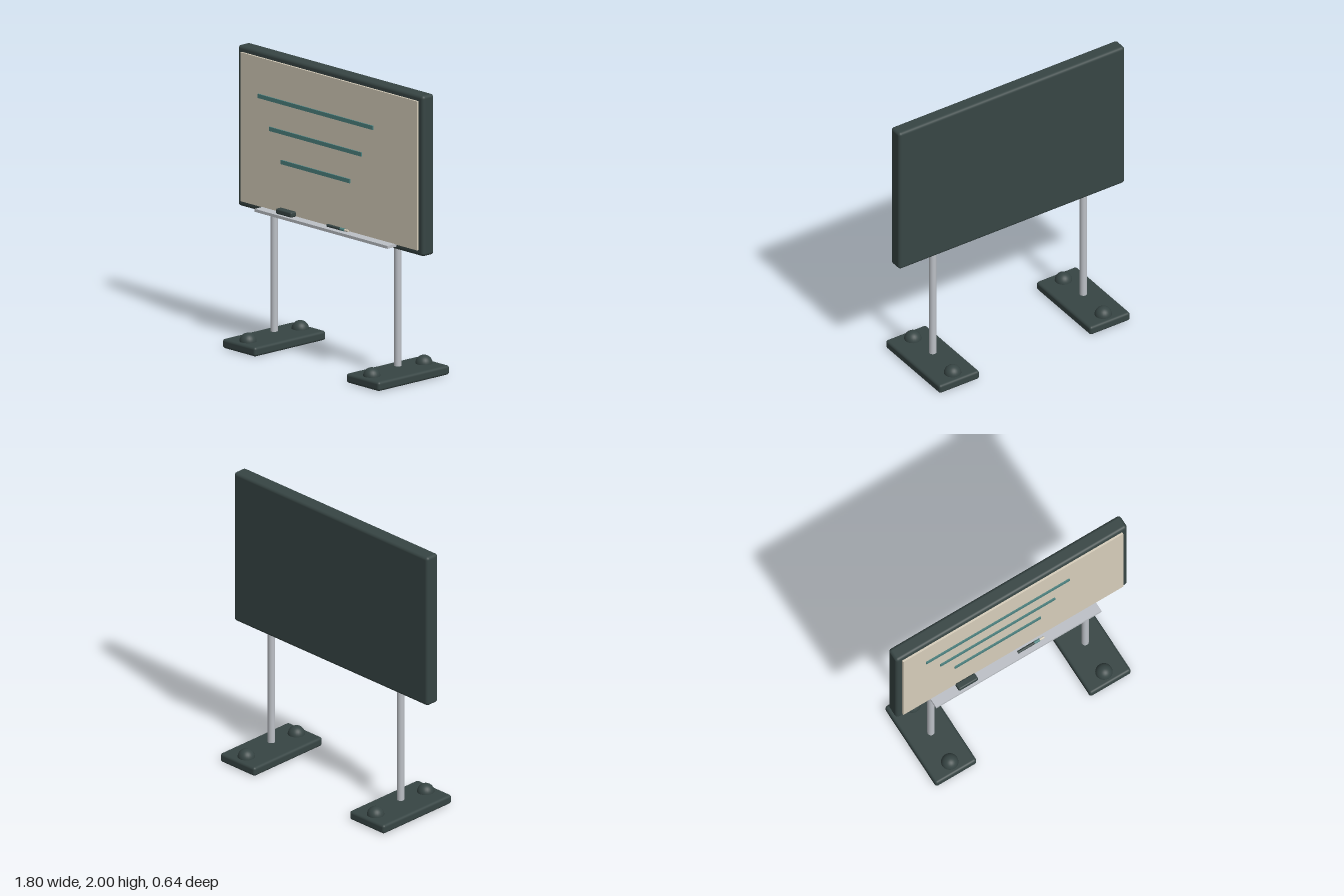
import * as THREE from 'three';
import { RoundedBoxGeometry } from 'three/addons/geometries/RoundedBoxGeometry.js';

export function createModel() {
  const model = new THREE.Group();
  model.name = 'displayBoard';

  const material = (name, color) => {
    const m = new THREE.MeshStandardMaterial({ color });
    m.name = name;
    return m;
  };
  const dark = material('darkSlate', 0x374544);
  const cream = material('cream', 0xd6cdba);
  const teal = material('teal', 0x4d8280);
  const metal = material('metal', 0xbcc0c6);

  const add = (name, geometry, mat, x, y, z, parent = model) => {
    const mesh = new THREE.Mesh(geometry, mat);
    mesh.name = name;
    mesh.position.set(x, y, z);
    parent.add(mesh);
    return mesh;
  };

  // Backing slab and writing surface
  add('frame', new RoundedBoxGeometry(1.8, 1.1, 0.104, 4, 0.022), dark, 0, 1.45, 0);
  add('writingSurface', new THREE.BoxGeometry(1.712, 1.02, 0.016), cream, 0, 1.45, 0.058);

  // Written lines, each shorter than the one above
  const lines = [[-0.68, 0.435, 1.697], [-0.57, 0.323, 1.493], [-0.458, 0.212, 1.288]];
  for (const [x0, x1, y] of lines) {
    add('writtenLine', new THREE.BoxGeometry(x1 - x0, 0.028, 0.009), teal, (x0 + x1) / 2, y, 0.0705);
  }

  // Tray with eraser
  add('tray', new THREE.BoxGeometry(1.288, 0.02, 0.085), metal, 0, 0.932, 0.0935);
  add('eraser', new RoundedBoxGeometry(0.15, 0.037, 0.05, 3, 0.01), dark, -0.381, 0.961, 0.097);

  // Marker lying on the tray: cap, band and barrel
  const marker = new THREE.Group();
  marker.name = 'marker';
  model.add(marker);
  const sections = [['markerBarrel', 0.018, 0.145, 0.01, dark],
    ['markerBand', 0.145, 0.187, 0.01, teal], ['markerTip', 0.187, 0.221, 0.008, cream]];
  for (const [name, x0, x1, r, mat] of sections) {
    const part = add(name, new THREE.CylinderGeometry(r, r, x1 - x0, 16), mat, (x0 + x1) / 2, 0.953, 0.095, marker);
    part.rotation.z = Math.PI / 2;
  }

  // Posts, feet and domed weights
  for (const side of [-1, 1]) {
    const stand = new THREE.Group();
    stand.name = side > 0 ? 'leftStand' : 'rightStand';
    stand.position.x = side * 0.6;
    model.add(stand);
    add('post', new THREE.CylinderGeometry(0.025, 0.025, 0.83, 24), metal, 0, 0.505, 0, stand);
    add('foot', new RoundedBoxGeometry(0.32, 0.064, 0.644, 4, 0.018), dark, 0, 0.032, 0, stand);
    for (const end of [-1, 1]) {
      add('footDome', new THREE.SphereGeometry(0.058, 24, 10, 0, Math.PI * 2, 0, Math.PI / 2), dark, 0, 0.062, end * 0.236, stand);
    }
  }
  return model;
}
